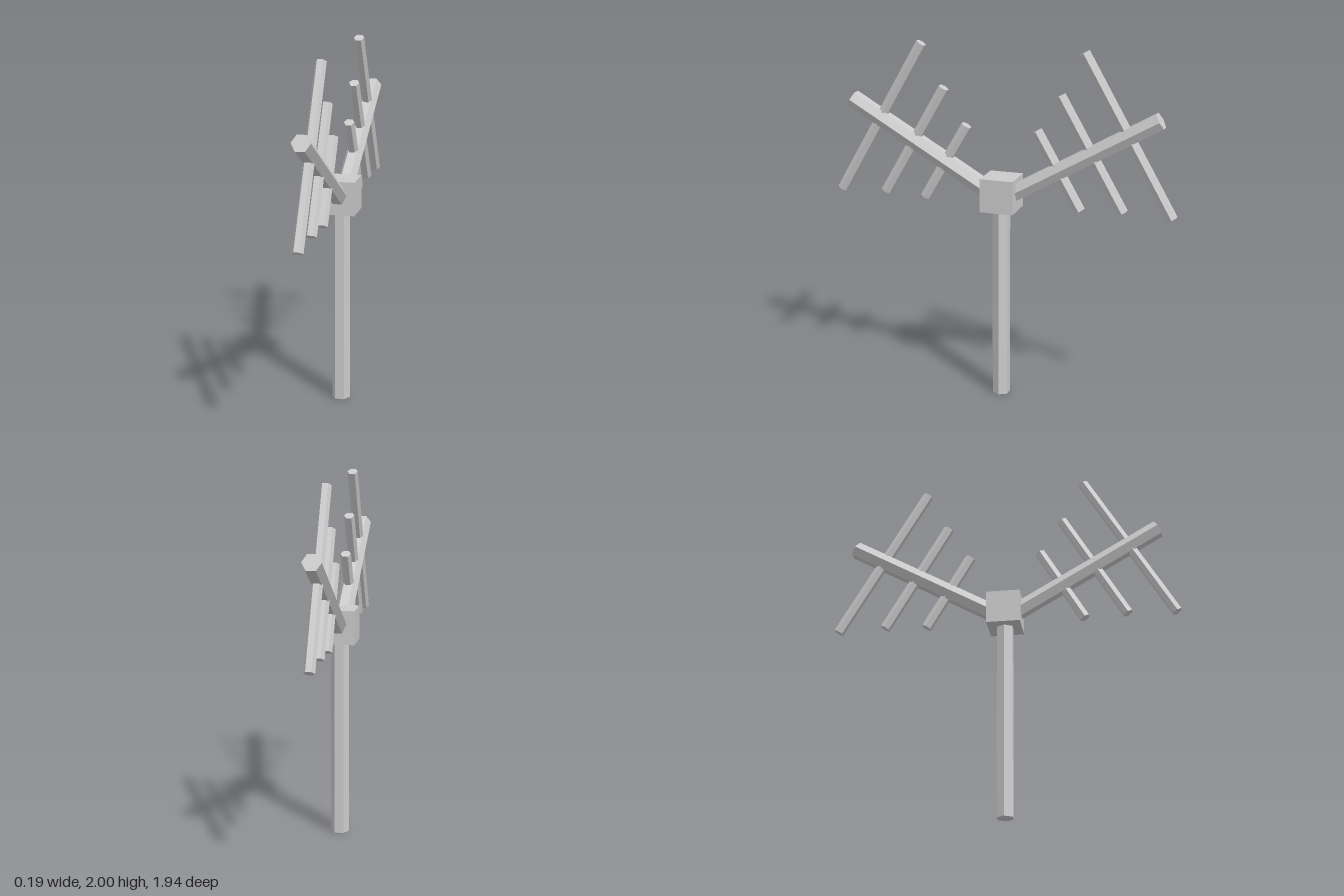
import * as THREE from 'three';

export function createModel() {
  const model = new THREE.Group();
  model.name = 'antenna';
  const material = new THREE.MeshStandardMaterial({ color: 0xcccccc, flatShading: true });

  const add = (parent, name, geometry) => {
    const mesh = new THREE.Mesh(geometry, material);
    mesh.name = name;
    parent.add(mesh);
    return mesh;
  };
  // Hexagonal rod along y with corners pointing to +x and -x
  const rod = (radius, length) =>
    new THREE.CylinderGeometry(radius, radius, length, 6, 1, false, Math.PI / 6);

  // Upright mast and the junction box on top of it
  add(model, 'mast', rod(0.05, 1.15)).position.y = 0.575;
  add(model, 'junctionBox', new THREE.BoxGeometry(0.187, 0.187, 0.187)).position.y = 1.188;

  // Cross rods: distance along the boom, length
  const crossRods = [[0.372, 0.49], [0.583, 0.707], [0.811, 0.99]];
  const boomLength = 1.004;

  // Two mirrored arms, each rising 30 degrees from the box
  for (const [name, side] of [['frontArm', 1], ['backArm', -1]]) {
    const arm = new THREE.Group();
    arm.name = name;
    arm.position.y = 1.153;
    arm.rotation.x = side * Math.PI / 3;
    add(arm, 'boom', rod(0.05, boomLength)).position.y = boomLength / 2;
    for (const [distance, length] of crossRods) {
      const cross = add(arm, 'crossRod', rod(0.03, length));
      cross.position.y = distance;
      cross.rotation.x = Math.PI / 2;
    }
    model.add(arm);
  }
  return model;
}
